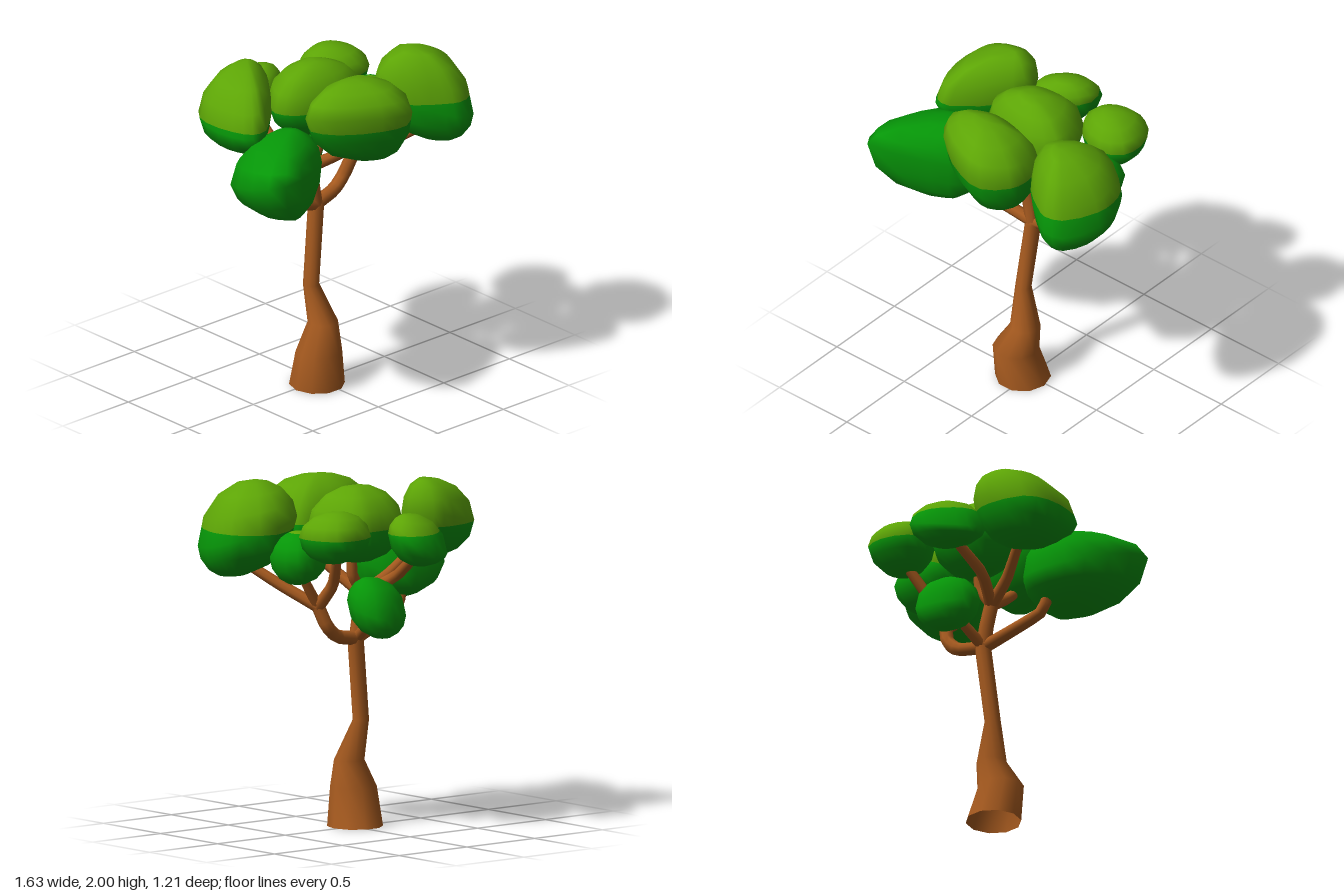
import * as THREE from 'three';
import { mergeVertices } from 'three/addons/utils/BufferGeometryUtils.js';

const mat = (name, color) => new THREE.MeshStandardMaterial({ name, color });
const V = (x, y, z) => new THREE.Vector3(x, y, z);

// Smooth skin over a stack of rings, bottom to top
function loft(rings) {
  const n = rings[0].length, index = [];
  for (let k = 0; k < rings.length - 1; k++) {
    for (let j = 0; j < n; j++) {
      const a = k * n + j, b = k * n + (j + 1) % n;
      index.push(a, a + n, b + n, a, b + n, b);
    }
  }
  let geo = new THREE.BufferGeometry().setFromPoints(rings.flat());
  geo.setIndex(index);
  geo = mergeVertices(geo, 1e-5);
  geo.computeVertexNormals();
  return geo;
}

// Keep the part of a geometry above (sign 1) or below (sign -1) a height
function clipAt(geo, height, sign) {
  const g = geo.toNonIndexed(), p = g.attributes.position, nr = g.attributes.normal;
  const pos = [], nor = [];
  for (let i = 0; i < p.count; i += 3) {
    const poly = [];
    const tri = [0, 1, 2].map((k) => ({
      p: V().fromBufferAttribute(p, i + k),
      n: V().fromBufferAttribute(nr, i + k),
    }));
    tri.forEach((a, k) => {
      const b = tri[(k + 1) % 3];
      const da = sign * (a.p.y - height), db = sign * (b.p.y - height);
      if (da >= 0) poly.push(a);
      if (da * db < 0) {
        const t = da / (da - db);
        poly.push({ p: a.p.clone().lerp(b.p, t), n: a.n.clone().lerp(b.n, t).normalize() });
      }
    });
    for (let k = 1; k < poly.length - 1; k++) {
      for (const v of [poly[0], poly[k], poly[k + 1]]) {
        pos.push(...v.p.toArray());
        nor.push(...v.n.toArray());
      }
    }
  }
  const out = new THREE.BufferGeometry();
  out.setAttribute('position', new THREE.Float32BufferAttribute(pos, 3));
  out.setAttribute('normal', new THREE.Float32BufferAttribute(nor, 3));
  return out;
}

// Leaf clump: widest outline [x, z] on a tilted plane, rounded off to a top and a bottom point
function clumpGeometry({ outline, top, bottom, mid, tilt = [0, 0] }) {
  const cx = (top[0] + bottom[0]) / 2, cz = (top[2] + bottom[2]) / 2;
  const loop = new THREE.CatmullRomCurve3(outline.map(([x, z]) => V(x, 0, z)), true, 'centripetal');
  const edge = loop.getPoints(outline.length * 2).slice(0, -1);
  const rings = [-90, -72, -50, -26, 0, 26, 50, 72, 90].map((deg) => {
    const a = THREE.MathUtils.degToRad(deg);
    const tip = deg < 0 ? bottom : top;
    const s = Math.abs(deg) === 90 ? 0 : Math.cos(a), rise = Math.abs(Math.sin(a));
    return edge.map(({ x, z }) => {
      const y = mid + tilt[0] * (x - cx) + tilt[1] * (z - cz);
      return V(tip[0] + (x - tip[0]) * s, y + (tip[1] - y) * rise, tip[2] + (z - tip[2]) * s);
    });
  });
  return loft(rings);
}

// Tapering limb along a curve
function limbGeometry(points, r0, r1) {
  const curve = new THREE.CatmullRomCurve3(points.map((q) => V(...q)), false, 'catmullrom', 0.2);
  const segs = 8, sides = 8;
  const geo = new THREE.TubeGeometry(curve, segs, 1, sides, false);
  const p = geo.attributes.position, v = V();
  for (let i = 0; i < p.count; i++) {
    const t = Math.floor(i / (sides + 1)) / segs;
    const c = curve.getPointAt(t);
    v.fromBufferAttribute(p, i).sub(c).multiplyScalar(r0 + (r1 - r0) * t).add(c);
    p.setXYZ(i, v.x, v.y, v.z);
  }
  return geo;
}

const clumps = {
  leftLowClump: { top: [-0.38, 1.72, 0.18], bottom: [-0.38, 1.23, 0.26], mid: 1.49, tilt: [0, 0.3],
    outline: [[-.815, .33], [-.72, .05], [-.52, -.06], [-.32, -.04], [-.2, .14], [-.23, .28], [-.4, .4], [-.74, .54]] },
  leftHighClump: { top: [-0.32, 1.99, -0.25], bottom: [-0.42, 1.52, -0.16], mid: 1.77, tilt: [0.2, -0.08],
    outline: [[-.68, -.2], [-.61, -.34], [-.4, -.41], [-.27, -.39], [-.185, -.26], [-.24, -.14], [-.5, .11], [-.6, .11], [-.66, 0]] },
  frontClump: { top: [-0.03, 1.98, 0.34], bottom: [0.11, 1.465, 0.36], mid: 1.76, tilt: [-0.13, 0.18],
    outline: [[-.345, .285], [-.26, .19], [-.1, .12], [.13, .14], [.25, .19], [.295, .37], [.27, .48], [.14, .6], [-.03, .575], [-.26, .44]] },
  rightFrontClump: { top: [0.48, 2, 0.29], bottom: [0.6, 1.445, 0.4], mid: 1.69, tilt: [-0.23, -0.22],
    outline: [[.265, .24], [.31, .12], [.57, -.025], [.76, .08], [.81, .2], [.805, .33], [.7, .53], [.59, .565], [.5, .52], [.36, .41]] },
  middleClump: { top: [0, 1.96, -0.03], bottom: [0.02, 1.52, -0.06], mid: 1.73,
    outline: [[-.3, -.04], [-.24, -.16], [-.15, -.25], [.02, -.285], [.16, -.275], [.25, -.17], [.29, -.04], [.28, .07], [.14, .15], [-.06, .14], [-.24, .07]] },
  rightBackClump: { top: [0.36, 1.87, -0.3], bottom: [0.38, 1.57, -0.27], mid: 1.73,
    outline: [[.17, -.3], [.22, -.42], [.37, -.485], [.5, -.455], [.57, -.31], [.55, -.18], [.42, -.11], [.25, -.17]] },
  rightLowClump: { top: [0.41, 1.735, -0.02], bottom: [0.45, 1.43, -0.04], mid: 1.59,
    outline: [[.28, -.05], [.33, -.17], [.45, -.21], [.56, -.18], [.6, -.03], [.55, .08], [.43, .13], [.32, .08]] },
  backClump: { top: [-0.06, 1.83, -0.4], bottom: [-0.12, 1.53, -0.45], mid: 1.67, tilt: [0.3, 0.22],
    outline: [[-.32, -.41], [-.26, -.52], [-.11, -.61], [.05, -.58], [.09, -.44], [0, -.32], [-.16, -.26], [-.28, -.3]] },
  backLowClump: { top: [0.08, 1.46, -0.23], bottom: [0.04, 1.115, -0.32], mid: 1.28, tilt: [0.1, 0.3],
    outline: [[-.14, -.26], [-.08, -.37], [.05, -.43], [.17, -.41], [.23, -.29], [.17, -.15], [.04, -.09], [-.08, -.14]] },
};

const hub = [0, 1.08, -0.03], rightFork = [0.29, 1.29, -0.04], midFork = [-0.05, 1.33, -0.02];
const limbs = {
  rightLimb: [[hub, [0.17, 1.11, -0.06], [0.25, 1.18, -0.065], rightFork], .04, .038],
  rightFrontBranch: [[rightFork, [0.42, 1.41, 0.15], [0.53, 1.52, 0.3]], .037, .03],
  rightLowBranch: [[rightFork, [0.36, 1.4, -0.04], [0.42, 1.5, -0.04]], .032, .026],
  rightBackBranch: [[rightFork, [0.29, 1.43, -0.17], [0.36, 1.62, -0.29]], .037, .028],
  leftLimb: [[hub, [-0.36, 1.2, 0.05], [-0.42, 1.32, 0.07]], .038, .032],
  middleLimb: [[hub, [-0.02, 1.2, -0.03], midFork], .043, .04],
  leftHighBranch: [[midFork, [-0.21, 1.43, -0.06], [-0.36, 1.58, -0.12]], .037, .028],
  backBranch: [[midFork, [-0.15, 1.44, -0.2], [-0.13, 1.6, -0.42]], .037, .028],
  middleBranch: [[midFork, [0.03, 1.45, -0.03], [0.04, 1.6, -0.04]], .034, .028],
  frontBranch: [[midFork, [0, 1.44, 0.15], [0.06, 1.56, 0.31]], .037, .028],
  backLowBranch: [[hub, [0.02, 1.17, -0.15], [0.04, 1.25, -0.24]], .034, .026],
};

export function createModel() {
  const bark = mat('bark', 0xa65a1f);
  bark.side = THREE.DoubleSide;
  const lightLeaf = mat('light leaf', 0x5da506);
  const darkLeaf = mat('dark leaf', 0x069608);
  const model = new THREE.Group();
  model.name = 'tree';
  const add = (parent, name, geo, material) => {
    const mesh = new THREE.Mesh(geo, material);
    mesh.name = name;
    parent.add(mesh);
  };

  // Hollow-footed trunk: x, y, z, radius across x, radius across z
  const sections = [
    [-.03, 0, .017, .157, .161], [-.05, .22, .055, .133, .132], [0, .38, .033, .085, .089],
    [-.05, .61, -.01, .047, .045], [.005, 1.07, -.03, .046, .047], [.005, 1.11, -.03, .03, .03], [.005, 1.12, -.03, 0, 0],
  ];
  const trunkRings = sections.map(([x, y, z, rx, rz]) => Array.from({ length: 10 }, (_, i) => {
    const a = i / 10 * Math.PI * 2;
    return V(x - Math.cos(a) * rx, y, z - Math.sin(a) * rz);
  }));
  add(model, 'trunk', loft(trunkRings), bark);

  // Limbs and branches
  for (const [name, [points, r0, r1]] of Object.entries(limbs)) {
    add(model, name, limbGeometry(points, r0, r1), bark);
  }

  // Leaf clumps, light above one common height and dark below it
  for (const [name, spec] of Object.entries(clumps)) {
    const clump = new THREE.Group();
    clump.name = name;
    const geo = clumpGeometry(spec);
    if (spec.top[1] > 1.725) add(clump, name + 'Top', clipAt(geo, 1.725, 1), lightLeaf);
    add(clump, name + 'Underside', clipAt(geo, 1.725, -1), darkLeaf);
    model.add(clump);
  }
  return model;
}
